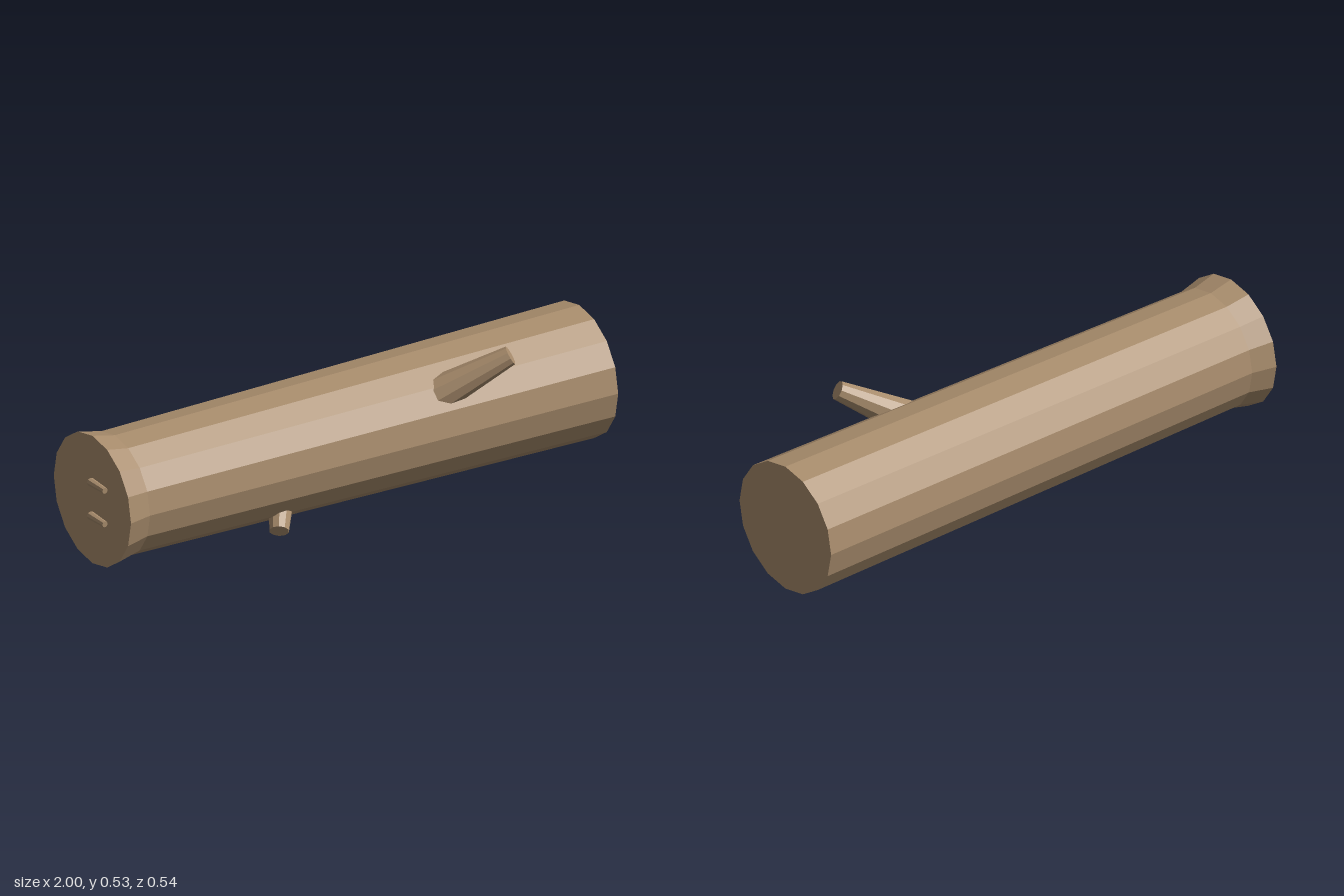
import * as THREE from 'three';

const bark = new THREE.MeshStandardMaterial({ color: 0xa88c6c });
bark.name = 'bark';

// Faceted mesh: every face gets its own normal
function faceted(name, geometry) {
  const flat = geometry.toNonIndexed();
  flat.computeVertexNormals();
  const mesh = new THREE.Mesh(flat, bark);
  mesh.name = name;
  return mesh;
}

// Tapered round piece running from a base point to a tip point
function limb(name, base, tip, baseRadius, tipRadius, sides) {
  const a = new THREE.Vector3(...base);
  const b = new THREE.Vector3(...tip);
  const axis = b.clone().sub(a);
  const geometry = new THREE.CylinderGeometry(tipRadius, baseRadius, axis.length(), sides);
  const mesh = faceted(name, geometry);
  mesh.quaternion.setFromUnitVectors(new THREE.Vector3(0, 1, 0), axis.normalize());
  mesh.position.copy(a).add(b).multiplyScalar(0.5);
  return mesh;
}

export function createModel() {
  const log = new THREE.Group();
  log.name = 'log';

  // Trunk: 16-sided, flared at the left end and slightly skewed in z
  const profile = [[0, -0.97], [0.2375, -0.97], [0.2175, -0.88], [0.24, 0.995], [0, 0.995]]
    .map(([r, x]) => new THREE.Vector2(r, x));
  const trunk = new THREE.LatheGeometry(profile, 16);
  trunk.rotateZ(-Math.PI / 2);
  const p = trunk.attributes.position;
  for (let i = 0; i < p.count; i++) {
    p.setY(i, p.getY(i) + 0.241);
    p.setZ(i, p.getZ(i) - 0.022 + 0.0126 * p.getX(i));
  }
  log.add(faceted('trunk', trunk));

  // Broken branches
  log.add(limb('upperBranch', [0.22, 0.286, 0.05], [0.55, 0.5, 0.24], 0.081, 0.034, 10));
  log.add(limb('lowerStub', [-0.235, 0.16, 0.018], [-0.335, 0.035, 0.155], 0.055, 0.034, 10));

  // Two small twigs lying across the flared end
  for (const y of [0.315, 0.19]) {
    log.add(limb('endTwig', [-0.985, y, -0.023], [-0.985, y, 0.066], 0.015, 0.011, 8));
  }
  return log;
}
